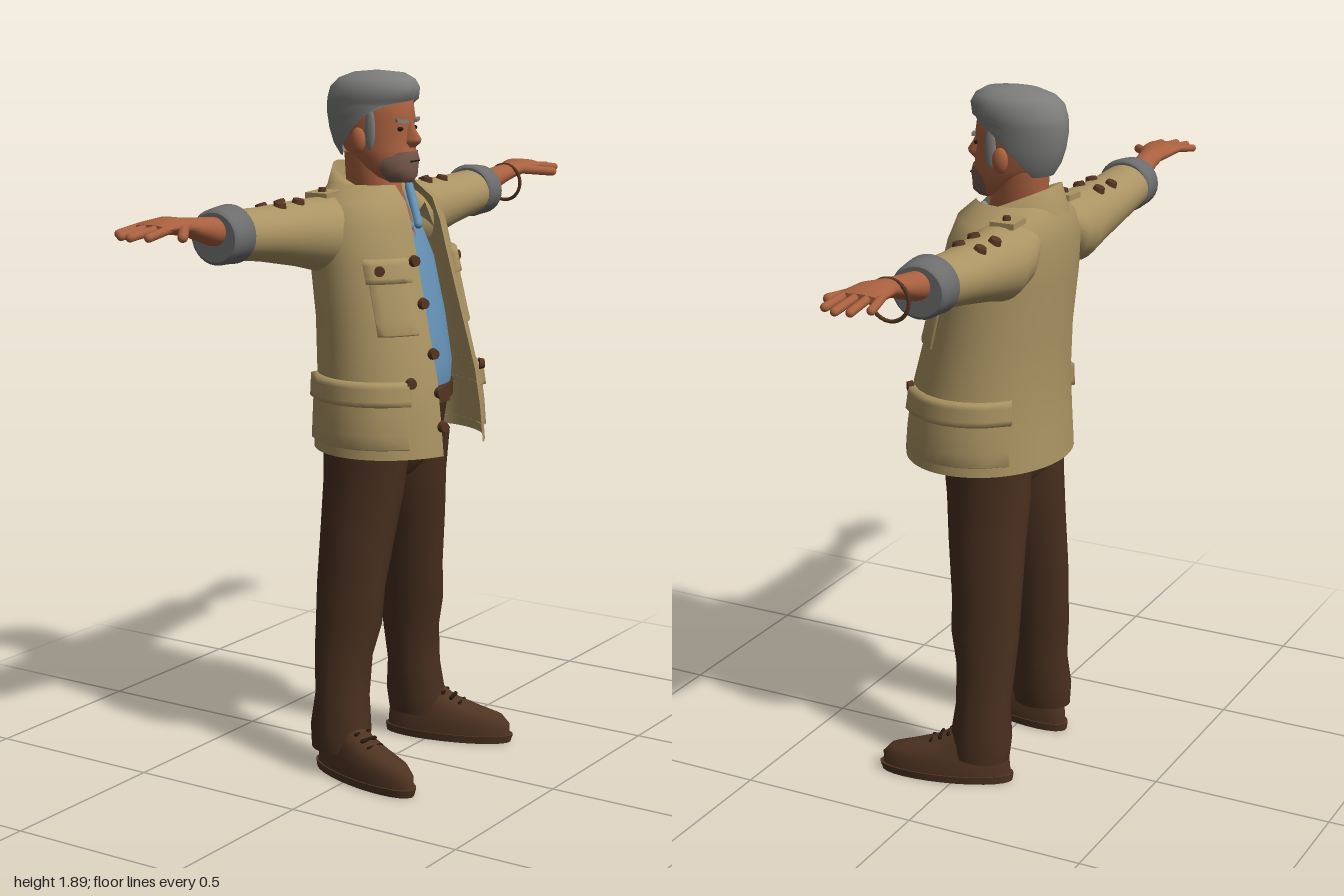
import * as THREE from 'three';

const PI = Math.PI;
const mat = (name, color, side = THREE.DoubleSide) => new THREE.MeshStandardMaterial({ name, color, side });

// Grid surface from a point rule; u runs around, v runs upward
function sheet(nu, nv, closed, f) {
  const pos = [], idx = [], cols = closed ? nu : nu + 1;
  for (let v = 0; v <= nv; v++) for (let u = 0; u < cols; u++) pos.push(...f(u / nu, v));
  for (let v = 0; v < nv; v++) for (let u = 0; u < nu; u++) {
    const a = v * cols + u, b = v * cols + (u + 1) % cols;
    idx.push(a, a + cols, b, b, a + cols, b + cols);
  }
  const g = new THREE.BufferGeometry();
  g.setAttribute('position', new THREE.Float32BufferAttribute(pos, 3));
  g.setIndex(idx);
  g.computeVertexNormals();
  return g;
}

// Point on an elliptical section [y, halfWidth, back, front, T, cx]; t = 0 is the back
const ell = ([y, w, zb, zf, , cx = 0], t) =>
  [cx + w * Math.sin(t), y, (zb + zf) / 2 - (zf - zb) / 2 * Math.cos(t)];

// Closed, capped body made of elliptical sections
function loft(rows, n = 28) {
  const end = r => [r[0], 0, (r[2] + r[3]) / 2, (r[2] + r[3]) / 2, PI, r[5]];
  const a = rows[0], z = rows[rows.length - 1];
  const all = [end(a), a, ...rows, z, end(z)];
  return sheet(n, all.length - 1, true, (u, v) => ell(all[v], u * 2 * PI));
}

// Open wrap: each section spans mid - T .. mid + T
const wrap = (rows, mid = 0, n = 36) =>
  sheet(n, rows.length - 1, false, (u, v) => ell(rows[v], mid + (2 * u - 1) * rows[v][4]));

// Sections along the arm: [x, radiusY, back, front, centreY]
const arm = rows => loft(rows.map(([x, r, zb, zf, y]) => [x, r, zb, zf, PI, -y])).rotateZ(-PI / 2);

function limb(a, b, r) {
  const p = new THREE.Vector3(...a), q = new THREE.Vector3(...b), d = q.clone().sub(p);
  const g = new THREE.CapsuleGeometry(r, d.length(), 5, 10);
  g.applyQuaternion(new THREE.Quaternion().setFromUnitVectors(new THREE.Vector3(0, 1, 0), d.normalize()));
  const m = p.add(q).multiplyScalar(0.5);
  return g.translate(m.x, m.y, m.z);
}

const ball = (x, y, z, rx, ry, rz) => new THREE.SphereGeometry(1, 16, 12).scale(rx, ry, rz).translate(x, y, z);

function mirror(geo) {
  const g = geo.clone().scale(-1, 1, 1), i = g.index.array;
  for (let k = 0; k < i.length; k += 3) [i[k], i[k + 1]] = [i[k + 1], i[k]];
  return g;
}

// Jacket sections: [y, halfWidth, back, front, opening]
const JACKET = [
  [0.90, 0.26, -0.207, 0.23, 0.10], [1.0, 0.258, -0.2, 0.22, 0.10], [1.1, 0.25, -0.195, 0.205, 0.095],
  [1.25, 0.238, -0.2, 0.165, 0.085], [1.4, 0.235, -0.215, 0.125, 0.075], [1.5, 0.225, -0.22, 0.10, 0.07],
  [1.56, 0.185, -0.21, 0.08, 0.065], [1.6, 0.11, -0.19, 0.04, 0.05],
];
function jacketPoint(y, t, off = 0) {
  const i = Math.max(1, JACKET.findIndex(r => r[0] >= y));
  const a = JACKET[i - 1], b = JACKET[i], k = (y - a[0]) / (b[0] - a[0]);
  const r = a.map((v, j) => v + (b[j] - v) * k);
  return ell([y, r[1] + off, r[2] - off, r[3] + off], t);
}
// Raised patch following the jacket, sloping to the cloth at its edges
const patch = (y0, y1, t0, t1, off) => sheet(10, 8, false, (u, v) => {
  const rim = u < 0.01 || u > 0.99 || v === 0 || v === 8;
  const e = u < 0.15 ? 0.02 : u > 0.85 ? 0.98 : u;
  const h = v === 0 ? 0 : v === 8 ? 1 : v === 1 ? 0.03 : v === 7 ? 0.97 : v / 8;
  const uu = rim && (u < 0.01 || u > 0.99) ? u : e;
  return jacketPoint(y0 + (y1 - y0) * h, t0 + (t1 - t0) * uu, rim ? 0 : off);
});

function button(p, n, r = 0.016) {
  const g = new THREE.CylinderGeometry(r * 0.8, r, 0.014, 14);
  const q = new THREE.Quaternion().setFromUnitVectors(new THREE.Vector3(0, 1, 0), new THREE.Vector3(...n).normalize());
  return g.applyQuaternion(q).translate(...p);
}
const jacketButton = (y, t) => button(jacketPoint(y, t, 0.012), [Math.sin(t), 0, -Math.cos(t)]);

export function createModel() {
  const M = {
    jacket: mat('tan cloth', 0xab9463), cuff: mat('grey lining', 0x6d6d6d), hair: mat('grey hair', 0x7d7d7c),
    skin: mat('skin', 0xa9613f), stubble: mat('stubble', 0x77594c), shirt: mat('blue shirt', 0x6592b6),
    trousers: mat('brown trousers', 0x482f1f), shoe: mat('shoe leather', 0x4f3422),
    button: mat('brown button', 0x553521), dark: mat('dark', 0x24170f),
  };
  const man = new THREE.Group();
  man.name = 'man';
  const add = (name, geo, m) => {
    const mesh = new THREE.Mesh(geo, m);
    mesh.name = name;
    man.add(mesh);
  };
  const pair = (name, geo, m) => { add(name + 'Left', geo, m); add(name + 'Right', mirror(geo), m); };

  // Trousers, belt, shirt
  add('hips', loft([[0.81, 0.05, -0.1, 0.04], [0.86, 0.165, -0.155, 0.085], [0.95, 0.185, -0.16, 0.11], [1.06, 0.17, -0.14, 0.135]]), M.trousers);
  pair('trouserLeg', loft([
    [0.07, 0.066, -0.14, 0.03, PI, 0.195], [0.13, 0.072, -0.145, 0.03, PI, 0.19], [0.22, 0.069, -0.135, 0.018, PI, 0.181],
    [0.33, 0.068, -0.145, 0.022, PI, 0.17], [0.42, 0.07, -0.15, 0.045, PI, 0.157], [0.52, 0.073, -0.152, 0.048, PI, 0.147],
    [0.68, 0.083, -0.152, 0.068, PI, 0.124], [0.8, 0.09, -0.155, 0.082, PI, 0.104], [0.92, 0.096, -0.155, 0.095, PI, 0.1],
  ]), M.trousers);
  add('belt', loft([[1.025, 0.178, -0.148, 0.143], [1.065, 0.174, -0.146, 0.145]]), M.shoe);
  add('buckle', new THREE.BoxGeometry(0.055, 0.045, 0.012).translate(0, 1.045, 0.147), M.button);
  add('shirt', loft([[1.06, 0.165, -0.13, 0.137], [1.12, 0.162, -0.13, 0.143], [1.25, 0.16, -0.14, 0.12],
    [1.4, 0.15, -0.15, 0.085], [1.5, 0.12, -0.15, 0.045], [1.575, 0.08, -0.15, 0.005]]), M.shirt);
  pair('shirtCollar', limb([0.022, 1.49, 0.055], [0.062, 1.585, 0], 0.012), M.shirt);

  // Shoes, turned outward
  const place = g => g.rotateY(0.25).translate(0.19, 0, -0.06);
  pair('shoe', place(loft([[0.02, 0.06, -0.08, 0.282], [0.05, 0.06, -0.078, 0.282], [0.075, 0.055, -0.075, 0.26],
    [0.092, 0.05, -0.07, 0.2], [0.115, 0.047, -0.068, 0.125], [0.145, 0.045, -0.06, 0.08]])), M.shoe);
  pair('sole', place(loft([[0, 0.06, -0.085, 0.285], [0.022, 0.064, -0.088, 0.292]])), M.shoe);
  for (const [y, z] of [[0.104, 0.15], [0.118, 0.125], [0.13, 0.1]])
    pair('lace', place(limb([-0.022, y, z - 0.01], [0.022, y, z - 0.01], 0.006)), M.dark);

  // Jacket body, collar and pockets
  add('jacket', wrap(JACKET.map(([y, w, b, f, o]) => [y, w, b, f, PI - Math.asin(o / w)]), 0, 48), M.jacket);
  const COLLAR = [[1.57, 0.08, 0.075, -0.165, 0.04], [1.65, 0.11, 0.1, -0.188, 0.075], [1.575, 0.115, 0.128, -0.207, 0.105]];
  add('collar', sheet(36, 2, false, (u, v) => {
    const t = (2 * u - 1) * 2.62, [y, drop, w, b, f] = COLLAR[v];
    return ell([y - drop * (1 - Math.cos(t)) / 2, w, b, f], t);
  }), M.jacket);
  pair('chestPocket', patch(1.22, 1.4, 2.08, 2.62, 0.008), M.jacket);
  pair('chestFlap', patch(1.355, 1.42, 2.04, 2.66, 0.014), M.jacket);
  pair('sidePocket', patch(0.925, 1.09, 0.8, 2.35, 0.01), M.jacket);
  pair('sideFlap', patch(1.04, 1.105, 0.76, 2.4, 0.018), M.jacket);
  pair('chestButton', jacketButton(1.39, 2.25), M.button);
  pair('sidePocketButton', jacketButton(1.1, 2.4), M.button);
  for (const y of [1.41, 1.3, 1.17, 1.07, 0.98]) add('frontButton', jacketButton(y, -2.74), M.button);

  // Sleeves, rolled cuffs, shoulder tabs
  pair('sleeve', arm([[0.1, 0.055, -0.19, -0.01, 1.52], [0.16, 0.088, -0.205, -0.01, 1.485], [0.22, 0.096, -0.208, -0.02, 1.478],
    [0.3, 0.085, -0.205, -0.035, 1.488], [0.45, 0.069, -0.2, -0.045, 1.502], [0.585, 0.062, -0.193, -0.05, 1.515]]), M.jacket);
  pair('cuff', arm([[0.565, 0.066, -0.19, -0.05, 1.517], [0.572, 0.075, -0.2, -0.042, 1.517], [0.6, 0.073, -0.198, -0.045, 1.517],
    [0.635, 0.07, -0.195, -0.048, 1.515], [0.642, 0.062, -0.188, -0.055, 1.515]]), M.cuff);
  pair('shoulderTab', new THREE.BoxGeometry(0.07, 0.016, 0.068).rotateZ(-0.05).translate(0.165, 1.577, -0.122), M.jacket);
  pair('shoulderButton', button([0.17, 1.588, -0.122], [0, 1, 0], 0.012), M.button);
  for (const [x, y] of [[0.31, 1.567], [0.39, 1.565]]) for (const z of [-0.16, -0.1])
    pair('sleeveButton', button([x, y + (z > -0.13 ? 0.006 : 0), z], [0, 1, z > -0.13 ? 0.2 : -0.4], 0.018), M.button);

  // Forearms, hands, bracelet
  pair('hand', arm([[0.58, 0.037, -0.158, -0.082, 1.522], [0.66, 0.036, -0.156, -0.083, 1.533], [0.74, 0.026, -0.146, -0.08, 1.55],
    [0.78, 0.022, -0.146, -0.073, 1.558], [0.83, 0.022, -0.163, -0.062, 1.566], [0.88, 0.016, -0.17, -0.055, 1.567], [0.9, 0.009, -0.165, -0.06, 1.566]]), M.skin);
  for (const [z, tip, spread] of [[-0.158, 0.945, -0.012], [-0.13, 0.98, -0.005], [-0.1, 0.989, 0], [-0.07, 0.968, 0.008]])
    pair('finger', limb([0.875, 1.566, z], [tip, 1.555, z + spread], 0.011), M.skin);
  pair('thumb', limb([0.81, 1.56, -0.08], [0.888, 1.55, -0.024], 0.013), M.skin);
  add('bracelet', new THREE.TorusGeometry(0.052, 0.005, 8, 28).rotateY(PI / 2).translate(0.76, 1.525, -0.112), M.button);

  // Neck and head
  add('neck', loft([[1.46, 0.012, -0.14, 0.062], [1.52, 0.042, -0.145, 0.042], [1.58, 0.062, -0.15, 0.008], [1.68, 0.066, -0.155, -0.005]]), M.skin);
  const HEAD = [[1.603, 0.028, -0.04, 0.04], [1.618, 0.052, -0.07, 0.053], [1.64, 0.066, -0.1, 0.053], [1.665, 0.074, -0.13, 0.056],
    [1.69, 0.079, -0.155, 0.05], [1.74, 0.083, -0.18, 0.042], [1.77, 0.085, -0.185, 0.048], [1.82, 0.085, -0.185, 0.04], [1.86, 0.06, -0.14, 0.015]];
  add('head', loft(HEAD, 32), M.skin);
  add('beard', wrap([[1.599, 0, 0, 0, 1.4], ...HEAD.slice(0, 4).map(([y, w, b, f], i) =>
    [y, w + 0.004, b - 0.004, f + 0.004, [1.6, 1.5, 1.4, 1.2][i]]), [1.685, 0.082, -0.155, 0.055, 0.55]], PI), M.stubble);
  add('mouth', new THREE.BoxGeometry(0.04, 0.004, 0.008).translate(0, 1.66, 0.057), M.dark);
  add('nose', loft([[1.695, 0.012, 0, 0.058], [1.708, 0.02, 0, 0.073], [1.718, 0.018, 0, 0.077], [1.74, 0.011, 0, 0.062], [1.765, 0.009, 0, 0.05]], 16), M.skin);
  pair('ear', ball(0.09, 1.715, -0.062, 0.015, 0.034, 0.022), M.skin);
  pair('eye', ball(0.034, 1.745, 0.034, 0.013, 0.006, 0.005), M.dark);
  pair('eyebrow', new THREE.BoxGeometry(0.038, 0.009, 0.009).rotateZ(0.08).rotateY(0.35).translate(0.036, 1.766, 0.041), M.hair);

  // Hair
  add('hair', wrap([[1.67, 0.066, -0.168, 0, 0.9], [1.70, 0.085, -0.187, 0.04, 1.15], [1.74, 0.093, -0.2, 0.05, 1.5],
    [1.78, 0.097, -0.206, 0.05, 1.85], [1.805, 0.099, -0.206, 0.05, 2.3], [1.82, 0.1, -0.204, 0.055, PI], [1.85, 0.097, -0.195, 0.06, PI],
    [1.872, 0.082, -0.172, 0.048, PI], [1.888, 0.052, -0.13, 0.02, PI], [1.895, 0, -0.06, -0.06, PI]]), M.hair);
  pair('sideburn', ball(0.082, 1.745, -0.03, 0.008, 0.055, 0.016), M.hair);

  // Turn the figure to face +x
  man.rotation.y = PI / 2;
  const model = new THREE.Group();
  model.name = 'standingMan';
  model.add(man);
  return model;
}
